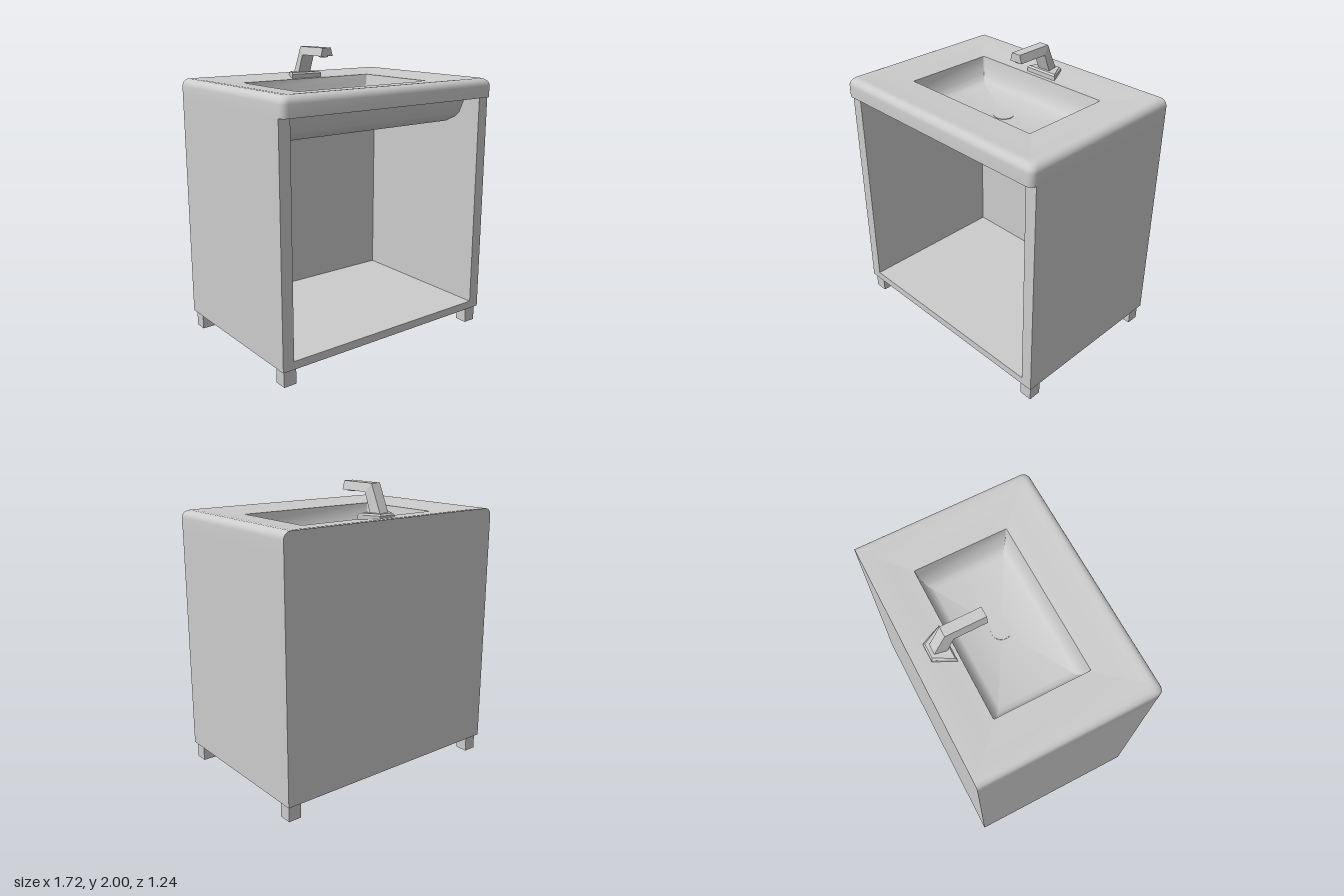
import * as THREE from 'three';
import { toCreasedNormals } from 'three/addons/utils/BufferGeometryUtils.js';

const material = new THREE.MeshStandardMaterial({ color: 0xcccccc });

function addMesh(parent, name, geometry, x = 0, y = 0, z = 0) {
  const mesh = new THREE.Mesh(geometry, material);
  mesh.name = name;
  mesh.position.set(x, y, z);
  parent.add(mesh);
  return mesh;
}

// Box given by its two extremes on each axis
function addBox(parent, name, x0, x1, y0, y1, z0, z1) {
  return addMesh(parent, name, new THREE.BoxGeometry(x1 - x0, y1 - y0, z1 - z0),
    (x0 + x1) / 2, (y0 + y1) / 2, (z0 + z1) / 2);
}

// Skin over closed rings (counter-clockwise about the path), capped at both ends
function loft(rings, crease) {
  const pos = [];
  const tri = (a, b, c) => {
    const area = b.clone().sub(a).cross(c.clone().sub(a)).length();
    if (area > 1e-9) pos.push(...a.toArray(), ...b.toArray(), ...c.toArray());
  };
  const n = rings[0].length;
  for (let i = 0; i < rings.length - 1; i++) {
    for (let j = 0; j < n; j++) {
      const k = (j + 1) % n;
      tri(rings[i][j], rings[i][k], rings[i + 1][k]);
      tri(rings[i][j], rings[i + 1][k], rings[i + 1][j]);
    }
  }
  const centre = ring => ring.reduce((s, p) => s.add(p), new THREE.Vector3()).divideScalar(n);
  const first = rings[0], last = rings[rings.length - 1];
  const c0 = centre(first), c1 = centre(last);
  for (let j = 0; j < n; j++) {
    const k = (j + 1) % n;
    tri(c0, first[k], first[j]);
    tri(c1, last[j], last[k]);
  }
  const geometry = new THREE.BufferGeometry();
  geometry.setAttribute('position', new THREE.Float32BufferAttribute(pos, 3));
  return toCreasedNormals(geometry, crease);
}

// Horizontal rectangle ring with separate front and back corner radii
function rectRing(hx, zBack, zFront, y, rFront, rBack) {
  const points = [];
  const corners = [
    [1, zFront - rFront, rFront, 0], [1, zBack + rBack, rBack, 1],
    [-1, zBack + rBack, rBack, 2], [-1, zFront - rFront, rFront, 3],
  ];
  for (const [side, cz, r, quarter] of corners) {
    for (let s = 0; s <= 5; s++) {
      const a = (quarter + s / 5) * Math.PI / 2;
      points.push(new THREE.Vector3(side * (hx - r) + r * Math.sin(a), y, cz + r * Math.cos(a)));
    }
  }
  return points;
}

function createCabinet() {
  const cabinet = new THREE.Group();
  cabinet.name = 'cabinet';
  for (const [name, s] of [['leftPanel', 1], ['rightPanel', -1]]) {
    addBox(cabinet, name, Math.min(s * 0.78, s * 0.86), Math.max(s * 0.78, s * 0.86), 0.11, 1.67, -0.62, 0.58);
  }
  addBox(cabinet, 'bottomPanel', -0.78, 0.78, 0.11, 0.165, -0.62, 0.58);
  addBox(cabinet, 'backPanel', -0.78, 0.78, 0.165, 1.67, -0.62, -0.54);
  for (const x of [-0.8, 0.8]) {
    for (const z of [-0.555, 0.52]) {
      addMesh(cabinet, 'foot', new THREE.BoxGeometry(0.09, 0.11, 0.088), x, 0.055, z);
    }
  }
  return cabinet;
}

function createSink() {
  const sink = new THREE.Group();
  sink.name = 'sink';
  const rings = [];
  // Underside of the bowl
  for (const [hx, zb, zf, y] of [
    [0.665, -0.43, 0.40, 1.5], [0.705, -0.47, 0.44, 1.53],
    [0.725, -0.49, 0.46, 1.56], [0.75, -0.515, 0.49, 1.67],
  ]) rings.push(rectRing(hx, zb, zf, y, 0.02, 0.02));
  // Outer rim: rounded over at the front and sides, flat at the back
  rings.push(rectRing(0.86, -0.62, 0.62, 1.67, 0.045, 0));
  for (let i = 0; i <= 6; i++) {
    const a = i / 6 * Math.PI / 2, inset = 0.05 * (1 - Math.cos(a));
    rings.push(rectRing(0.86 - inset, -0.62, 0.62 - inset, 1.75 + 0.05 * Math.sin(a), 0.045, 0));
  }
  // Dished top, then the basin walls and floor
  for (const [hx, zb, zf, y] of [
    [0.77, -0.57, 0.54, 1.797], [0.66, -0.46, 0.42, 1.784], [0.54, -0.35, 0.30, 1.775],
    [0.53, -0.34, 0.292, 1.71], [0.51, -0.322, 0.275, 1.65],
    [0.485, -0.30, 0.255, 1.615], [0.45, -0.27, 0.23, 1.6],
  ]) rings.push(rectRing(hx, zb, zf, y, 0.008, 0.008));
  addMesh(sink, 'basin', loft(rings, 0.65));
  addMesh(sink, 'drain', new THREE.CylinderGeometry(0.067, 0.067, 0.008, 32), 0, 1.6, -0.02);
  return sink;
}

function createFaucet() {
  const faucet = new THREE.Group();
  faucet.name = 'faucet';
  // Tapered foot plate
  const plate = (y, g) => [[0.125, -0.375], [0.06, -0.515], [-0.06, -0.515], [-0.125, -0.375]]
    .map(([x, z]) => new THREE.Vector3(x - Math.sign(x) * g, y, z < -0.4 ? z + g : z - g));
  addMesh(faucet, 'footPlate', loft([plate(1.77, 0), plate(1.806, 0), plate(1.818, 0.01)], 0.2));
  // Column and spout: trapezoid section, wide on the inner side
  const section = (zOut, yOut, zIn, yIn) => [
    new THREE.Vector3(0.05, yIn, zIn), new THREE.Vector3(0.035, yOut, zOut),
    new THREE.Vector3(-0.035, yOut, zOut), new THREE.Vector3(-0.05, yIn, zIn),
  ];
  addMesh(faucet, 'spout', loft([
    section(-0.487, 1.81, -0.407, 1.81),
    section(-0.4, 2.0, -0.355, 1.943),
    section(-0.13, 2.0, -0.13, 1.943),
  ], 0.2));
  addMesh(faucet, 'aerator', new THREE.CylinderGeometry(0.033, 0.033, 0.012, 24), 0, 1.941, -0.17);
  return faucet;
}

export function createModel() {
  const model = new THREE.Group();
  model.name = 'washstand';
  model.add(createCabinet(), createSink(), createFaucet());
  return model;
}
